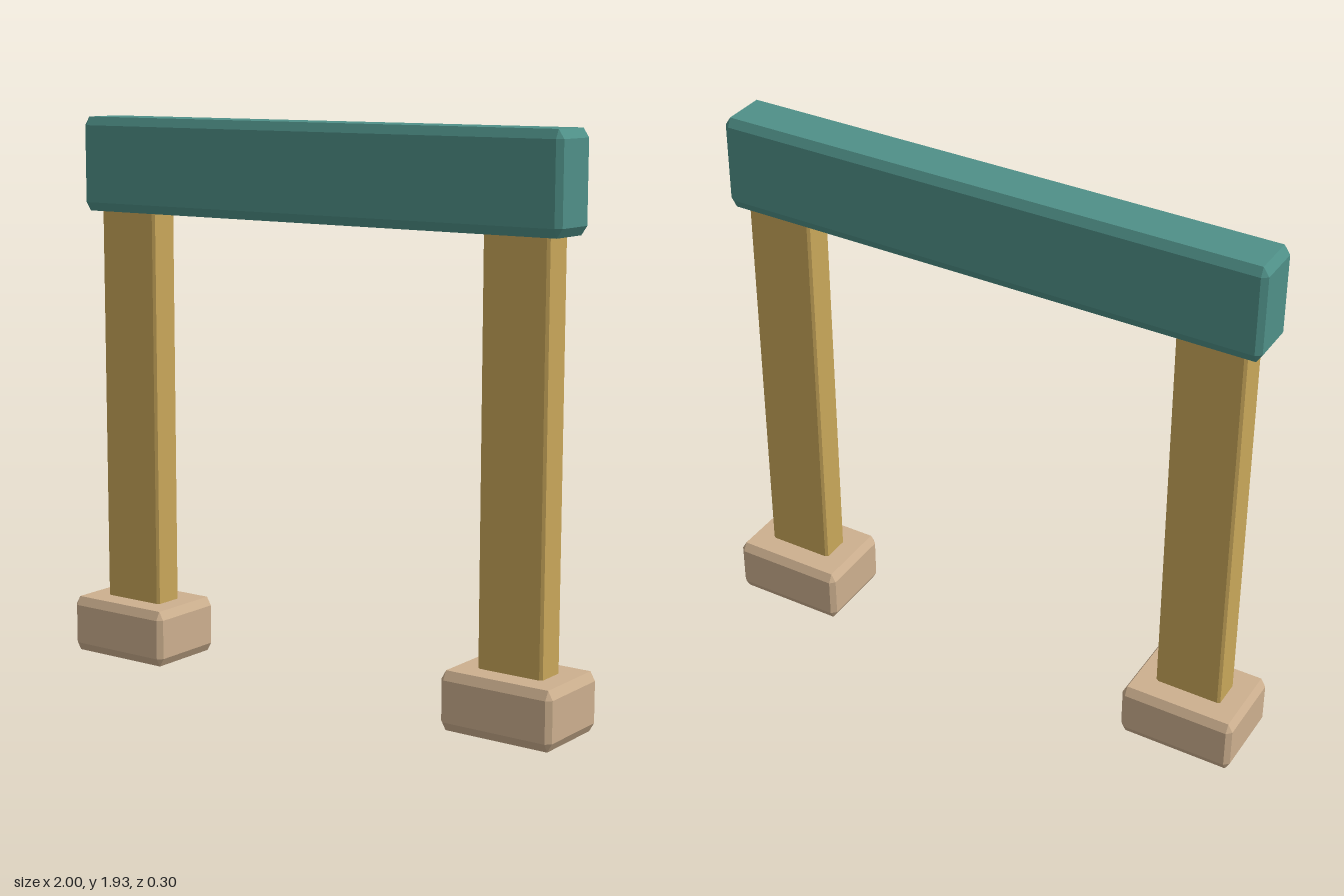
import * as THREE from 'three';
import { ConvexGeometry } from 'three/addons/geometries/ConvexGeometry.js';

const paint = (name, color) => {
  const m = new THREE.MeshStandardMaterial({ color });
  m.name = name;
  return m;
};

// Box with chamfered edges: the hull of its six inset faces.
// bx, by, bz are the chamfer lengths along each axis.
function chamferedBox(w, h, d, bx, by, bz) {
  const X = w / 2, Y = h / 2, Z = d / 2;
  const points = [];
  for (const i of [-1, 1]) for (const j of [-1, 1]) for (const k of [-1, 1]) {
    points.push(
      new THREE.Vector3(i * X, j * (Y - by), k * (Z - bz)),
      new THREE.Vector3(i * (X - bx), j * Y, k * (Z - bz)),
      new THREE.Vector3(i * (X - bx), j * (Y - by), k * Z)
    );
  }
  return new ConvexGeometry(points);
}

export function createModel() {
  const model = new THREE.Group();
  model.name = 'beamFrame';
  const teal = paint('teal', 0x4f9088);
  const gold = paint('gold', 0xc9a75a);
  const tan = paint('tan', 0xcdb08f);

  const add = (name, geometry, material, x, y) => {
    const mesh = new THREE.Mesh(geometry, material);
    mesh.name = name;
    mesh.position.set(x, y, 0);
    model.add(mesh);
  };

  // Crossbeam
  add('crossbeam', chamferedBox(1.94, 0.33, 0.18, 0.02, 0.03, 0.015), teal, 0, 1.765);

  // Posts, let slightly into the feet and the beam
  const post = chamferedBox(0.24, 1.46, 0.11, 0.01, 0.01, 0.006);
  // Feet
  const foot = chamferedBox(0.412, 0.2, 0.3, 0.017, 0.03, 0.017);
  for (const [side, s] of [['left', 1], ['right', -1]]) {
    add(side + 'Post', post, gold, s * 0.794, 0.9);
    add(side + 'Foot', foot, tan, s * 0.794, 0.1);
  }
  return model;
}
